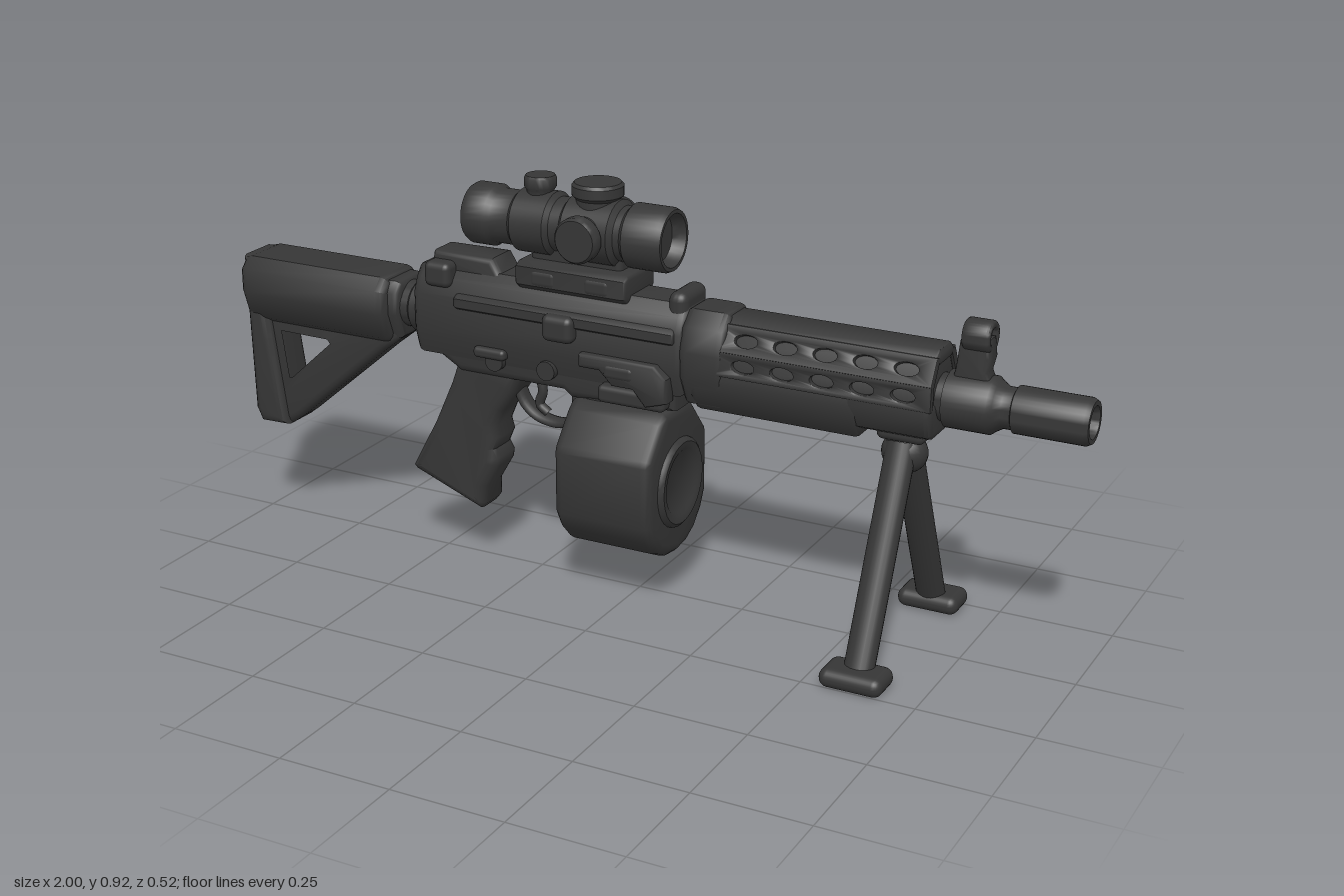
import * as THREE from 'three';
import { toCreasedNormals } from 'three/addons/utils/BufferGeometryUtils.js';
import { RoundedBoxGeometry } from 'three/addons/geometries/RoundedBoxGeometry.js';

export function createModel() {
  const model = new THREE.Group();
  const gunmetal = new THREE.MeshStandardMaterial({ color: 0x363636 });
  gunmetal.name = 'darkGrey';

  const add = (name, geo, x = 0, y = 0, z = 0) => {
    const m = new THREE.Mesh(geo, gunmetal);
    m.name = name;
    m.position.set(x, y, z);
    model.add(m);
    return m;
  };
  const toShape = (pts, holes = []) => {
    const s = new THREE.Shape(pts.map(p => new THREE.Vector2(...p)));
    for (const h of holes) s.holes.push(new THREE.Path(h.map(p => new THREE.Vector2(...p))));
    return s;
  };
  // bevelled plate of total depth d, centred on z
  const slab = (shape, d, b = 0.015) => {
    const g = new THREE.ExtrudeGeometry(shape, {
      depth: d - 2 * b, bevelThickness: b, bevelSize: b, bevelOffset: -b, bevelSegments: 3, curveSegments: 16,
    });
    g.translate(0, 0, -d / 2 + b);
    return toCreasedNormals(g, 0.8);
  };
  // side profile in x, y
  const side = (name, pts, d, b, holes) => add(name, slab(toShape(pts, holes), d, b));
  // symmetric cross-section in z, y run along x; pts give the +z half from top to bottom
  const along = (name, half, x0, x1, b) => {
    const pts = [...half, ...half.filter(p => p[0] > 0).reverse().map(([z, y]) => [-z, y])];
    const g = slab(toShape(pts), x1 - x0, b).rotateY(Math.PI / 2);
    return add(name, g, (x0 + x1) / 2);
  };
  const box = (name, x0, x1, y0, y1, z0, z1, r = 0.012) =>
    add(name, new RoundedBoxGeometry(x1 - x0, y1 - y0, z1 - z0, 3, r), (x0 + x1) / 2, (y0 + y1) / 2, (z0 + z1) / 2);
  // turned part about the x axis; profile of [x, radius]
  const turned = (name, prof, y, z = 0) => {
    const g = new THREE.LatheGeometry(prof.map(([x, r]) => new THREE.Vector2(r, x)), 32);
    return add(name, toCreasedNormals(g.rotateZ(-Math.PI / 2), 0.7), 0, y, z);
  };
  const knob = (name, r, h) => {
    const p = [[r * 0.85, 0], [r * 0.85, h * 0.35], [r, h * 0.5], [r, h * 0.88], [r * 0.9, h], [0, h]];
    const g = new THREE.LatheGeometry(p.map(q => new THREE.Vector2(...q)), 28);
    return add(name, toCreasedNormals(g, 0.7));
  };

  // shoulder stock: rounded upper body over a thinner open frame
  along('stockBody', [[0.055, 0.642], [0.08, 0.615], [0.08, 0.56], [0.06, 0.50], [0.04, 0.485]], -1, -0.6, 0.025);
  along('stockCollar', [[0.045, 0.635], [0.062, 0.61], [0.062, 0.56], [0.04, 0.5]], -0.63, -0.575, 0.015);
  side('stockFrame', [[-1, 0.63], [-0.6, 0.6], [-0.585, 0.5], [-0.63, 0.465], [-0.87, 0.262], [-0.9, 0.24], [-0.97, 0.238], [-0.985, 0.25]],
    0.09, 0.018, [[[-0.93, 0.485], [-0.775, 0.485], [-0.752, 0.455], [-0.88, 0.34], [-0.91, 0.335]]]);
  side('buttPad', [[-1, 0.64], [-0.955, 0.64], [-0.93, 0.45], [-0.9, 0.24], [-0.975, 0.238], [-0.99, 0.27]], 0.125, 0.02);
  turned('bufferTube', [[-0.62, 0], [-0.62, 0.053], [-0.5, 0.053], [-0.5, 0]], 0.575);
  turned('bufferNut', [[-0.56, 0], [-0.56, 0.05], [-0.55, 0.06], [-0.53, 0.06], [-0.52, 0]], 0.575);

  // receiver
  along('upperReceiver', [[0.04, 0.69], [0.06, 0.665], [0.075, 0.63], [0.075, 0.54], [0.06, 0.49]], -0.53, 0.14, 0.02);
  side('lowerReceiver', [[-0.53, 0.6], [0.11, 0.6], [0.11, 0.45], [-0.14, 0.44], [-0.16, 0.455], [-0.42, 0.455], [-0.48, 0.49], [-0.53, 0.51]], 0.12, 0.018);
  along('receiverRidge', [[0.065, 0.645], [0.083, 0.632], [0.083, 0.612], [0.065, 0.6]], -0.42, 0.12, 0.01);
  side('rearSightBase', [[-0.5, 0.66], [-0.49, 0.72], [-0.34, 0.722], [-0.32, 0.69], [-0.27, 0.66]], 0.09, 0.014);
  box('rearSightDial', -0.495, -0.43, 0.648, 0.705, -0.05, 0.08, 0.015);
  box('frontRing', 0.09, 0.135, 0.55, 0.715, -0.055, 0.055, 0.02);
  box('deflector', -0.19, -0.115, 0.575, 0.635, 0.05, 0.1, 0.016);
  side('ejectionCover', [[-0.1, 0.56], [0.08, 0.56], [0.11, 0.535], [0.11, 0.48], [0.06, 0.465], [0.03, 0.5], [-0.02, 0.5], [-0.05, 0.53], [-0.1, 0.53]], 0.045, 0.01).position.z = 0.075;
  box('boltHandle', -0.04, 0.035, 0.515, 0.55, 0.07, 0.1, 0.012);
  box('magazineCatch', -0.06, 0.1, 0.455, 0.495, 0.04, 0.088, 0.012);
  box('selector', -0.37, -0.29, 0.505, 0.53, 0.05, 0.085, 0.01);
  for (const [x, y, s] of [[-0.32, 0.5, 1], [-0.19, 0.5, 1], [-0.36, 0.51, -1], [-0.15, 0.5, -1]]) {
    const g = new THREE.CylinderGeometry(0.022, 0.022, 0.03, 20).rotateX(Math.PI / 2);
    add('receiverPin', g, x, y, s * 0.063);
  }

  // pistol grip, guard and trigger
  side('pistolGrip', [[-0.43, 0.49], [-0.455, 0.42], [-0.5, 0.32], [-0.565, 0.2], [-0.555, 0.19], [-0.385, 0.125], [-0.373, 0.14],
    [-0.372, 0.18], [-0.34, 0.235], [-0.337, 0.255], [-0.348, 0.275], [-0.335, 0.305], [-0.342, 0.33], [-0.325, 0.37], [-0.29, 0.42], [-0.27, 0.47]], 0.1, 0.024);
  const curve = pts => new THREE.CatmullRomCurve3(pts.map(([x, y]) => new THREE.Vector3(x, y, 0)));
  const guard = new THREE.TubeGeometry(curve([[-0.31, 0.45], [-0.285, 0.39], [-0.25, 0.362], [-0.19, 0.355], [-0.16, 0.375], [-0.15, 0.46]]), 30, 0.011, 10);
  add('triggerGuard', guard).scale.z = 2;
  add('trigger', new THREE.TubeGeometry(curve([[-0.25, 0.46], [-0.242, 0.42], [-0.25, 0.39], [-0.228, 0.372]]), 16, 0.011, 10));

  // drum magazine
  box('magazineNeck', -0.11, 0.075, 0.37, 0.5, -0.055, 0.055, 0.015);
  const drum = [[0.055, 0.445], [0.08, 0.425], [0.135, 0.36], [0.14, 0.345], [0.14, 0.205], [0.12, 0.165], [0.085, 0.128], [0.045, 0.108], [0, 0.102]];
  along('drumBody', drum, -0.14, 0.095, 0.022);
  turned('drumFace', [[0.08, 0.105], [0.1, 0.1], [0.106, 0.092], [0.103, 0.075], [0.098, 0.068], [0.098, 0]], 0.27);
  turned('drumBack', [[-0.143, 0], [-0.143, 0.08], [-0.13, 0.095], [-0.12, 0.095]], 0.27);

  // handguard: solid core under pierced plates
  along('handguardCore', [[0.038, 0.662], [0.064, 0.61], [0.07, 0.56], [0.06, 0.5]], 0.13, 0.685, 0.012);
  along('handguardTop', [[0.03, 0.678], [0.048, 0.662], [0.035, 0.645]], 0.16, 0.69, 0.008);
  along('handguardCollar', [[0.04, 0.684], [0.07, 0.652], [0.084, 0.6], [0.082, 0.54], [0.055, 0.48]], 0.13, 0.235, 0.018);
  along('handguardLower', [[0.074, 0.572], [0.08, 0.545], [0.07, 0.5], [0.045, 0.468]], 0.15, 0.535, 0.018);
  along('handguardNose', [[0.076, 0.572], [0.08, 0.545], [0.065, 0.5], [0.045, 0.49]], 0.5, 0.69, 0.015);
  const ventPlate = (p, q) => {
    const w = Math.hypot(q[0] - p[0], q[1] - p[1]) / 2 + 0.003;
    const shape = toShape([[0.2, -w], [0.69, -w], [0.69, w], [0.2, w]]);
    for (let i = 0; i < 5; i++) {
      const slot = new THREE.Path();
      slot.absellipse(0.278 + i * 0.088, 0, 0.026, 0.014, 0, Math.PI * 2, true);
      shape.holes.push(slot);
    }
    const m = add('ventPlate', slab(shape, 0.018, 0.003), 0, (p[1] + q[1]) / 2, (p[0] + q[0]) / 2);
    m.rotation.x = Math.atan2(q[0] - p[0], q[1] - p[1]);
  };
  for (const s of [1, -1]) {
    ventPlate([s * 0.073, 0.562], [s * 0.07, 0.61]);
    ventPlate([s * 0.07, 0.61], [s * 0.042, 0.66]);
  }

  // barrel and hollow muzzle
  turned('barrel', [[0.66, 0], [0.66, 0.05], [0.7, 0.05], [0.702, 0.06], [0.795, 0.06], [0.805, 0.052], [0.82, 0.043], [0.84, 0.043],
    [0.843, 0.049], [0.99, 0.049], [1, 0.044], [1, 0.034], [0.99, 0.031], [0.9, 0.031], [0.9, 0]], 0.57);

  // front sight tower with a ring at the tip
  side('sightTower', [[0.705, 0.6], [0.715, 0.64], [0.722, 0.7], [0.735, 0.71], [0.785, 0.71], [0.79, 0.67], [0.783, 0.64], [0.8, 0.6]], 0.045, 0.01);
  const sightRing = new THREE.Shape().absarc(0, 0, 0.034, 0, Math.PI * 2);
  sightRing.holes.push(new THREE.Path().absarc(0, 0, 0.017, 0, Math.PI * 2, true));
  add('sightRing', slab(sightRing, 0.06, 0.008).rotateY(Math.PI / 2), 0.758, 0.711);
  box('sightPost', 0.752, 0.764, 0.69, 0.715, -0.005, 0.005, 0.002);

  // bipod
  box('bipodMount', 0.56, 0.665, 0.47, 0.52, -0.045, 0.045, 0.015);
  const hub = add('bipodHub', new THREE.SphereGeometry(0.045, 24, 16), 0.61, 0.437);
  hub.scale.set(1.1, 1, 0.9);
  for (const s of [1, -1]) {
    const a = new THREE.Vector3(0.608, 0.46, s * 0.012), b = new THREE.Vector3(0.608, 0.025, s * 0.205);
    const leg = add('bipodLeg', new THREE.CylinderGeometry(0.025, 0.025, a.distanceTo(b), 20));
    leg.position.copy(a).add(b).multiplyScalar(0.5);
    leg.quaternion.setFromUnitVectors(new THREE.Vector3(0, 1, 0), a.clone().sub(b).normalize());
    leg.scale.x = 1.3;
    box('bipodFoot', 0.538, 0.676, 0, 0.042, s * 0.215 - 0.045, s * 0.215 + 0.045, 0.02);
  }

  // optic mount
  along('mountRail', [[0.05, 0.735], [0.068, 0.725], [0.068, 0.685], [0.05, 0.67]], -0.27, 0, 0.01);
  box('mountPost', -0.25, -0.03, 0.72, 0.78, -0.03, 0.03);
  for (const x of [-0.2, -0.07]) box('mountClamp', x - 0.035, x + 0.035, 0.68, 0.725, -0.07, 0.07, 0.015);

  // optic with dished lenses and adjustment knobs
  turned('opticTube', [[-0.39, 0], [-0.385, 0.035], [-0.39, 0.052], [-0.405, 0.056], [-0.405, 0.062], [-0.395, 0.068], [-0.345, 0.068], [-0.335, 0.06], [-0.29, 0.06],
    [-0.28, 0.07], [-0.2, 0.07], [-0.19, 0.06], [-0.165, 0.06], [-0.155, 0.072], [-0.045, 0.072], [-0.035, 0.06], [-0.02, 0.06],
    [-0.01, 0.07], [0.07, 0.07], [0.08, 0.066], [0.08, 0.058], [0.065, 0.055], [0.05, 0.05], [0.05, 0]], 0.81);
  knob('elevationKnob', 0.056, 0.055).position.set(-0.1, 0.86, 0);
  knob('rearKnob', 0.035, 0.05).position.set(-0.24, 0.863, 0);
  for (const s of [1, -1]) {
    const k = knob('windageKnob', 0.05, 0.057);
    k.position.set(-0.1, 0.81, s * 0.05);
    k.rotation.x = s * Math.PI / 2;
  }
  return model;
}
